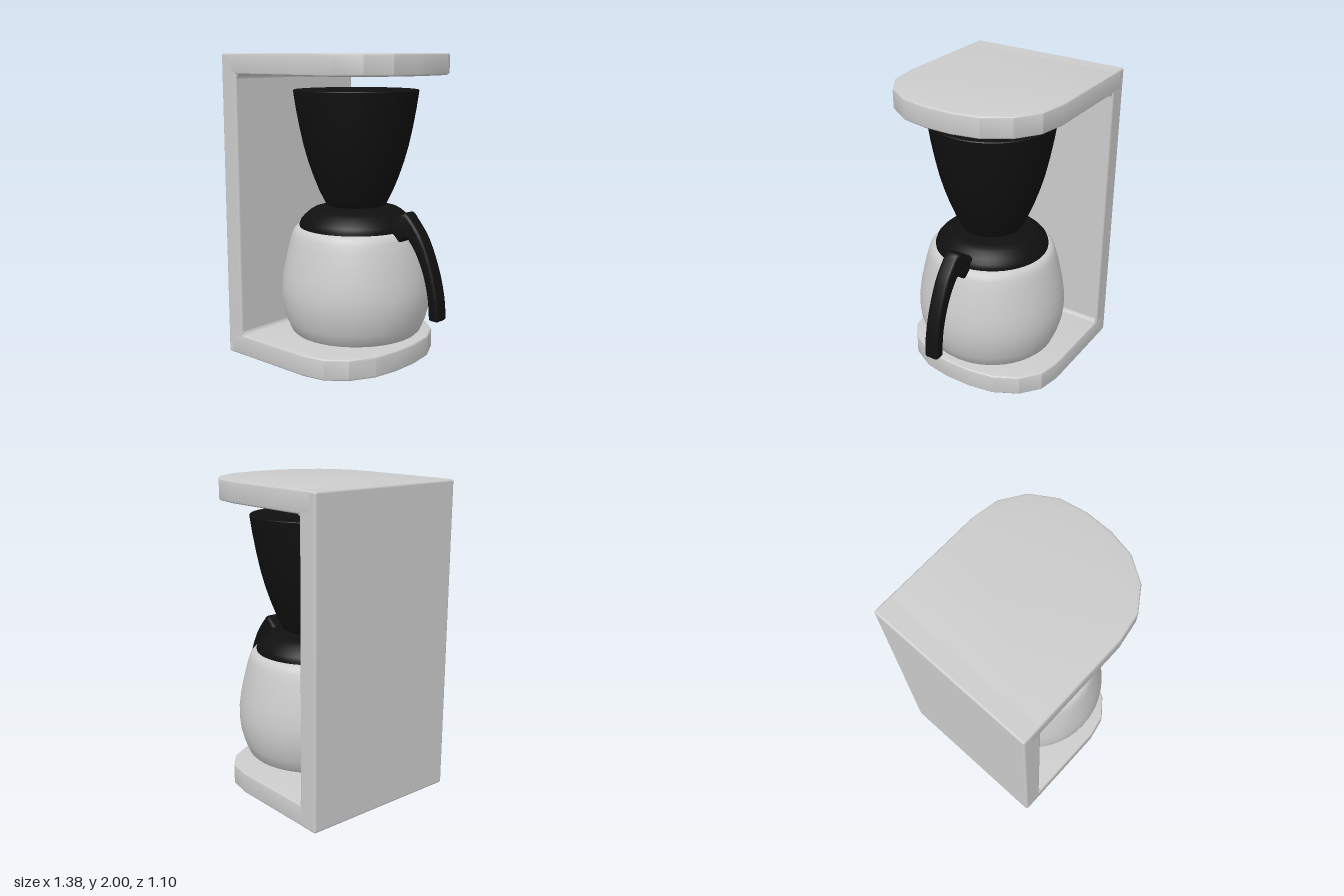
import * as THREE from 'three';
import { toCreasedNormals } from 'three/addons/utils/BufferGeometryUtils.js';
import { RoundedBoxGeometry } from 'three/addons/geometries/RoundedBoxGeometry.js';

const grey = new THREE.MeshStandardMaterial({ color: 0xcccccc });
const black = new THREE.MeshStandardMaterial({ color: 0x101010 });
const BEVEL = 0.015;
const AXIS_X = -0.02; // shared axis of jug and filter cone

function mesh(name, geometry, material, crease = 0.6) {
  const m = new THREE.Mesh(toCreasedNormals(geometry, crease), material);
  m.name = name;
  return m;
}

function lathe(name, profile, material) {
  const points = profile.map(([r, y]) => new THREE.Vector2(r, y));
  const m = mesh(name, new THREE.LatheGeometry(points, 48), material);
  m.position.x = AXIS_X;
  return m;
}

// Horizontal slab with a straight back and a faceted round nose
function plate(name, bendX, noseX, bottom, height) {
  const nose = [[0, 0.55], [0.39, 0.52], [0.71, 0.42], [0.925, 0.265], [1, 0.09]];
  const side = nose.map(([t, z]) => new THREE.Vector2(bendX + t * (noseX - bendX), z));
  const mirrored = side.map((p) => new THREE.Vector2(p.x, -p.y));
  const outline = [
    new THREE.Vector2(-0.64, -0.55), ...mirrored,
    ...side.reverse(), new THREE.Vector2(-0.64, 0.55),
  ];
  const g = new THREE.ExtrudeGeometry(new THREE.Shape(outline), {
    depth: height - 2 * BEVEL, bevelThickness: BEVEL, bevelSize: BEVEL,
    bevelOffset: -BEVEL, bevelSegments: 3,
  });
  g.rotateX(-Math.PI / 2);
  g.translate(0, bottom + BEVEL, 0);
  return mesh(name, g, grey, 0.35);
}

// Small concave strip where a plate meets the wall; dir is the way it opens
function fillet(y, dir) {
  const r = 0.025, x = -0.555;
  const s = new THREE.Shape();
  s.moveTo(x - 0.01, y - dir * 0.01);
  s.lineTo(x + r, y - dir * 0.01);
  for (let i = 0; i <= 5; i++) {
    const a = (i / 5) * Math.PI / 2;
    s.lineTo(x + r - r * Math.sin(a), y + dir * (r - r * Math.cos(a)));
  }
  s.lineTo(x - 0.01, y + dir * r);
  const g = new THREE.ExtrudeGeometry(s, { depth: 1.08, bevelEnabled: false });
  g.translate(0, 0, -0.54);
  return mesh('cornerFillet', g, grey);
}

// Bent grip: side outline with rounded edges, widened where it clasps the lid
function handle() {
  const s = new THREE.Shape();
  s.moveTo(0.27, 0.89);
  s.lineTo(0.35, 0.88);
  s.lineTo(0.395, 0.835);
  s.lineTo(0.435, 0.87);
  s.splineThru([[0.5, 0.79], [0.56, 0.67], [0.6, 0.53], [0.615, 0.39]]
    .map(([x, y]) => new THREE.Vector2(x, y)));
  s.quadraticCurveTo(0.615, 0.37, 0.635, 0.37);
  s.lineTo(0.67, 0.37);
  s.quadraticCurveTo(0.69, 0.37, 0.69, 0.395);
  s.splineThru([[0.675, 0.53], [0.63, 0.7], [0.55, 0.88], [0.45, 1.005]]
    .map(([x, y]) => new THREE.Vector2(x, y)));
  s.quadraticCurveTo(0.425, 1.035, 0.395, 1.015);
  s.lineTo(0.29, 0.945);
  const g = new THREE.ExtrudeGeometry(s, {
    depth: 0.06, bevelThickness: 0.02, bevelSize: 0.02, bevelOffset: -0.02,
    bevelSegments: 4, curveSegments: 6,
  });
  g.translate(0, 0, -0.03);
  const p = g.attributes.position;
  for (let i = 0; i < p.count; i++) {
    const low = THREE.MathUtils.clamp((0.45 - p.getX(i)) / 0.06, 0, 1);
    const under = THREE.MathUtils.clamp((1.02 - p.getY(i)) / 0.12, 0, 1);
    p.setZ(i, p.getZ(i) * (1 + 0.2 * low + 0.4 * low * under));
  }
  return mesh('handle', g, black, 0.7);
}

export function createModel() {
  const model = new THREE.Group();
  model.name = 'coffeeMaker';

  // C-shaped housing
  const housing = new THREE.Group();
  housing.name = 'housing';
  const wall = new THREE.Mesh(new RoundedBoxGeometry(0.135, 2, 1.1, 3, BEVEL), grey);
  wall.name = 'backWall';
  wall.position.set(-0.6225, 1, 0);
  housing.add(
    wall,
    plate('topPlate', 0.08, 0.545, 1.865, 0.135),
    plate('basePlate', 0.02, 0.41, 0, 0.14),
    fillet(0.14, 1),
    fillet(1.865, -1),
  );

  // Filter cone
  const cone = lathe('filterCone', [
    [0, 1.025], [0.185, 1.025], [0.198, 1.032], [0.208, 1.05], [0.242, 1.12],
    [0.278, 1.21], [0.312, 1.31], [0.34, 1.41], [0.366, 1.53], [0.388, 1.65],
    [0.405, 1.765], [0.401, 1.77], [0, 1.77],
  ], black);

  // Jug with lid and handle
  const jug = new THREE.Group();
  jug.name = 'jug';
  jug.add(
    lathe('jugBody', [
      [0, 0.173], [0.21, 0.173], [0.215, 0.18], [0.4, 0.18], [0.418, 0.185],
      [0.433, 0.2], [0.462, 0.27], [0.484, 0.35], [0.494, 0.43], [0.493, 0.5],
      [0.481, 0.59], [0.46, 0.69], [0.438, 0.78], [0.422, 0.835], [0.41, 0.862],
      [0.394, 0.879], [0.375, 0.885], [0, 0.885],
    ], grey),
    lathe('lid', [
      [0, 0.87], [0.373, 0.87], [0.373, 0.9], [0.364, 0.925], [0.34, 0.952],
      [0.305, 0.982], [0.28, 0.997], [0.25, 1.005], [0, 1.005],
    ], black),
    handle(),
  );

  model.add(housing, cone, jug);
  return model;
}
